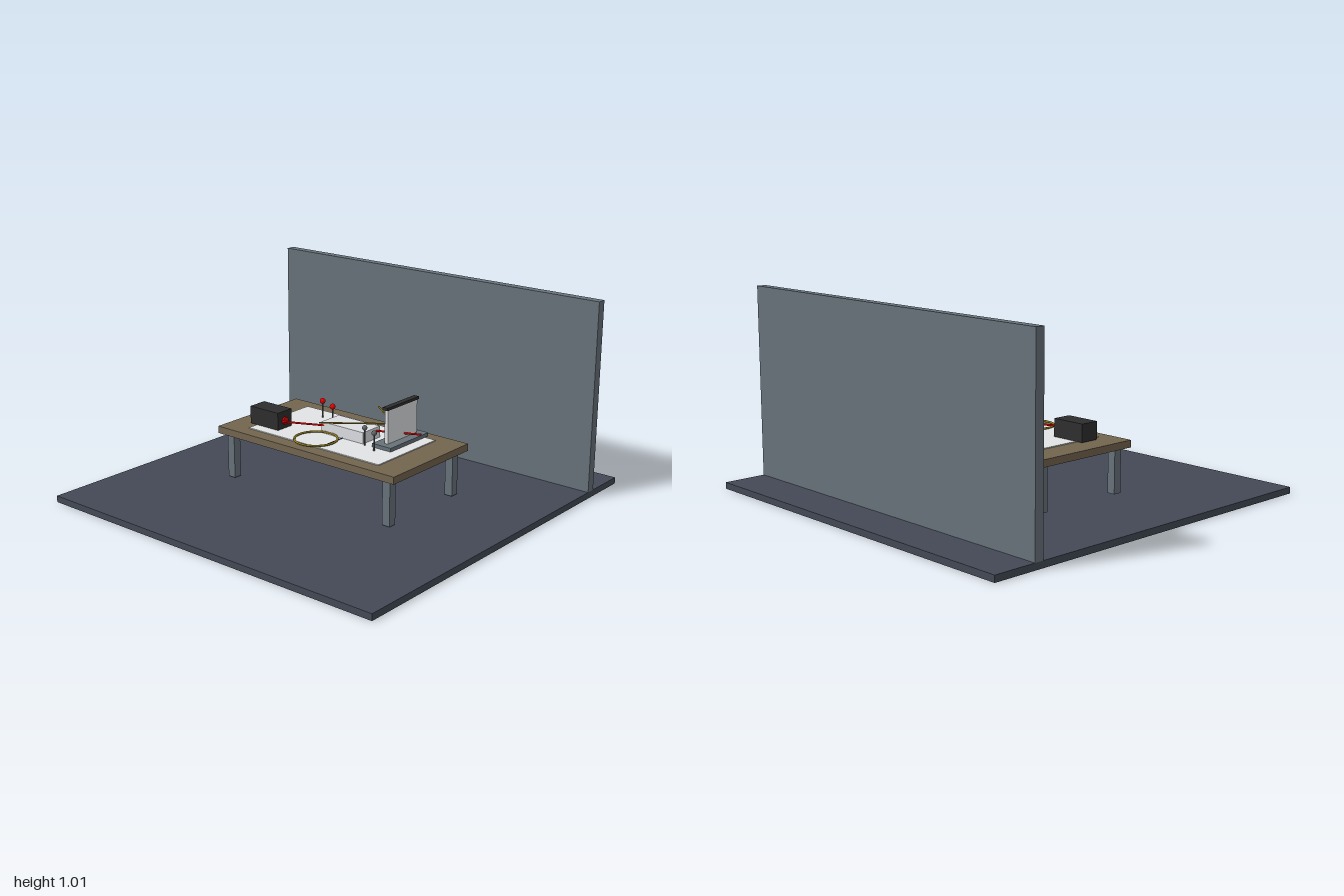
import * as THREE from 'three';

const mat = (name, color, extra = {}) => new THREE.MeshStandardMaterial({ name, color, ...extra });

export function createModel() {
  const root = new THREE.Group();
  root.name = 'opticsBench';
  const floorMat = mat('darkFloor', 0x434955);
  const slate = mat('slate', 0x67727a);
  const wood = mat('wood', 0x73654f);
  const white = mat('paperWhite', 0xe2e4e6);
  const glass = mat('paleGlass', 0xdcdfe2);
  const black = mat('black', 0x2e2e2e);
  const red = mat('red', 0xe80000);
  const gold = mat('gold', 0x8f7a1e);
  const steel = mat('steel', 0x62666c);

  const add = (name, geometry, material, x = 0, y = 0, z = 0) => {
    const m = new THREE.Mesh(geometry, material);
    m.name = name;
    m.position.set(x, y, z);
    root.add(m);
    return m;
  };
  // Box given by its minimum and maximum corners
  const box = (name, material, [x0, y0, z0], [x1, y1, z1]) =>
    add(name, new THREE.BoxGeometry(x1 - x0, y1 - y0, z1 - z0), material,
      (x0 + x1) / 2, (y0 + y1) / 2, (z0 + z1) / 2);
  // Round rod between two points
  const rod = (name, material, r, a, b) => {
    const p = new THREE.Vector3(...a), q = new THREE.Vector3(...b);
    const dir = q.clone().sub(p);
    const m = add(name, new THREE.CylinderGeometry(r, r, dir.length(), 10), material);
    m.position.copy(p).add(q).multiplyScalar(0.5);
    m.quaternion.setFromUnitVectors(new THREE.Vector3(0, 1, 0), dir.normalize());
    return m;
  };

  // Room
  box('floor', floorMat, [-1, 0, -1], [1, 0.033, 1]);
  box('backWall', slate, [-1, 0.033, -0.775], [1, 1.01, -0.727]);

  // Table
  box('tableTop', wood, [-0.563, 0.273, -0.297], [0.563, 0.31, 0.297]);
  for (const sx of [-1, 1]) for (const sz of [-1, 1])
    add('tableLeg', new THREE.BoxGeometry(0.044, 0.23, 0.044), slate, sx * 0.5, 0.158, sz * 0.25);
  box('paperSheet', white, [-0.417, 0.31, -0.225], [0.417, 0.315, 0.225]);

  // Light source with its round aperture
  box('laserBox', black, [-0.46, 0.315, 0.064], [-0.273, 0.406, 0.166]);
  rod('laserAperture', red, 0.02, [-0.275, 0.355, 0.115], [-0.264, 0.355, 0.115]);

  // Glass block and the ray bent through it
  box('glassBlock', glass, [-0.085, 0.315, -0.085], [0.18, 0.373, 0.048]);
  const ray = [[-0.268, 0.355, 0.134], [-0.08, 0.355, 0.048], [0.178, 0.355, -0.057], [0.383, 0.355, -0.153]];
  for (let i = 0; i < 3; i++) rod('lightRay', red, 0.005, ray[i], ray[i + 1]);
  box('normalLine', black, [0.048, 0.315, -0.165], [0.052, 0.318, 0.165]);

  // Angle ring lying on the paper
  add('angleRing', new THREE.TorusGeometry(0.107, 0.0055, 8, 48), gold, -0.033, 0.323, 0.152)
    .rotation.x = Math.PI / 2;

  // Sight rods meeting at the screen
  rod('sightRod', gold, 0.004, [0, 0.416, 0.165], [0.29, 0.416, -0.055]);
  rod('sightRod', gold, 0.004, [0.065, 0.416, -0.22], [0.29, 0.416, -0.055]);

  // Screen on a flat foot
  box('screenBase', slate, [0.24, 0.315, -0.25], [0.355, 0.334, 0.053]);
  box('screenPanel', glass, [0.288, 0.334, -0.218], [0.308, 0.506, 0.015]);
  box('screenCap', black, [0.283, 0.506, -0.225], [0.313, 0.52, 0.026]);

  // Pins: two red-headed, two steel-headed
  const pins = [
    [-0.235, -0.135, red, 0.015], [-0.135, -0.096, red, 0.015],
    [0.198, 0.057, steel, 0.013], [0.282, 0.089, steel, 0.013],
  ];
  for (const [x, z, headMat, r] of pins) {
    rod('pinShaft', steel, 0.004, [x, 0.315, z], [x, 0.4, z]);
    add('pinHead', new THREE.SphereGeometry(r, 16, 12), headMat, x, 0.405, z);
  }
  return root;
}
